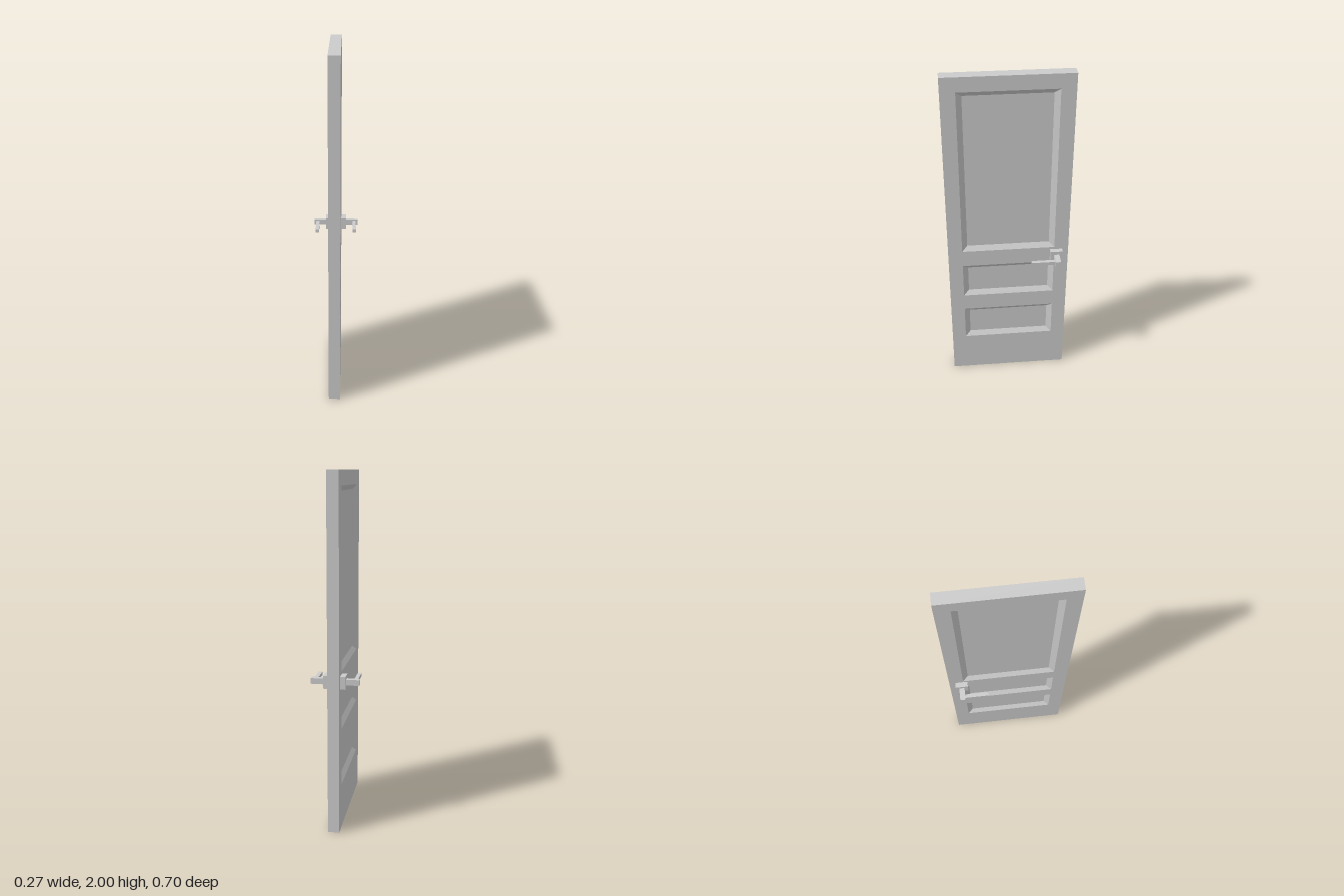
import * as THREE from 'three';
import { mergeGeometries } from 'three/addons/utils/BufferGeometryUtils.js';

const material = new THREE.MeshStandardMaterial({ color: 0xcccccc, flatShading: true });

const W = 0.352, H = 2, T = 0.0325; // half width, height, half thickness
const RECESS = 0.021, BEVEL_U = 0.031, BEVEL_V = 0.028;
const PANELS = [[0.922, 1.918], [0.593, 0.818], [0.26, 0.487]]; // bottom, top
const PANEL_HALF = 0.27;

// Counter-clockwise rectangle corners
const rect = (half, y0, y1) => [[-half, y0], [half, y0], [half, y1], [-half, y1]];

// Four quads joining two rectangles lying at different depths
function ring(outer, w0, inner, w1) {
  const pos = [];
  for (let i = 0; i < 4; i++) {
    const j = (i + 1) % 4;
    const a = [...outer[i], w0], b = [...outer[j], w0];
    const c = [...inner[j], w1], d = [...inner[i], w1];
    pos.push(...a, ...b, ...c, ...a, ...c, ...d);
  }
  const g = new THREE.BufferGeometry();
  g.setAttribute('position', new THREE.Float32BufferAttribute(pos, 3));
  g.computeVertexNormals();
  return g;
}

const toPoints = (corners) => corners.map(([x, y]) => new THREE.Vector2(x, y));

// Flat surface from a rectangle with optional rectangular holes
function flat(corners, w, holes = []) {
  const shape = new THREE.Shape(toPoints(corners));
  holes.forEach((h) => shape.holes.push(new THREE.Path(toPoints(h))));
  const g = new THREE.ShapeGeometry(shape).toNonIndexed();
  g.deleteAttribute('uv');
  return g.translate(0, 0, w);
}

function addMesh(parent, name, geometry) {
  const mesh = new THREE.Mesh(geometry, material);
  mesh.name = name;
  parent.add(mesh);
  return mesh;
}

function box(parent, name, x0, x1, y0, y1, z0, z1) {
  addMesh(parent, name, new THREE.BoxGeometry(x1 - x0, y1 - y0, z1 - z0))
    .position.set((x0 + x1) / 2, (y0 + y1) / 2, (z0 + z1) / 2);
}

// One door face: frame with three bevelled, recessed panels, turned to face +x
function faceGeometry() {
  const holes = PANELS.map(([y0, y1]) => rect(PANEL_HALF, y0, y1));
  const parts = [flat(rect(W, 0, H), T, holes)];
  PANELS.forEach(([y0, y1], i) => {
    const inner = rect(PANEL_HALF - BEVEL_U, y0 + BEVEL_V, y1 - BEVEL_V);
    parts.push(ring(holes[i], T, inner, T - RECESS), flat(inner, T - RECESS));
  });
  return mergeGeometries(parts).rotateY(Math.PI / 2);
}

// Handle on the side given by s (+1 or -1)
function handle(s) {
  const group = new THREE.Group();
  group.name = s > 0 ? 'leftHandle' : 'rightHandle';
  const part = (name, a, b, ...rest) =>
    box(group, name, Math.min(s * a, s * b), Math.max(s * a, s * b), ...rest);
  part('rosette', T, 0.062, 0.835, 0.907, -0.317, -0.245);
  part('handleNeck', 0.062, 0.135, 0.854, 0.886, -0.297, -0.266);
  part('handleLever', 0.101, 0.122, 0.86, 0.88, -0.266, -0.129);
  return group;
}

export function createModel() {
  const model = new THREE.Group();
  model.name = 'panelDoor';

  // Door leaf: both faces and the rim between them
  const face = faceGeometry();
  addMesh(model, 'leftDoorFace', face);
  addMesh(model, 'rightDoorFace', face.clone().rotateY(Math.PI));
  const outline = rect(W, 0, H);
  addMesh(model, 'doorEdges', ring(outline, -T, outline, T).rotateY(Math.PI / 2));

  // Matching handles on both sides
  model.add(handle(1), handle(-1));
  return model;
}
